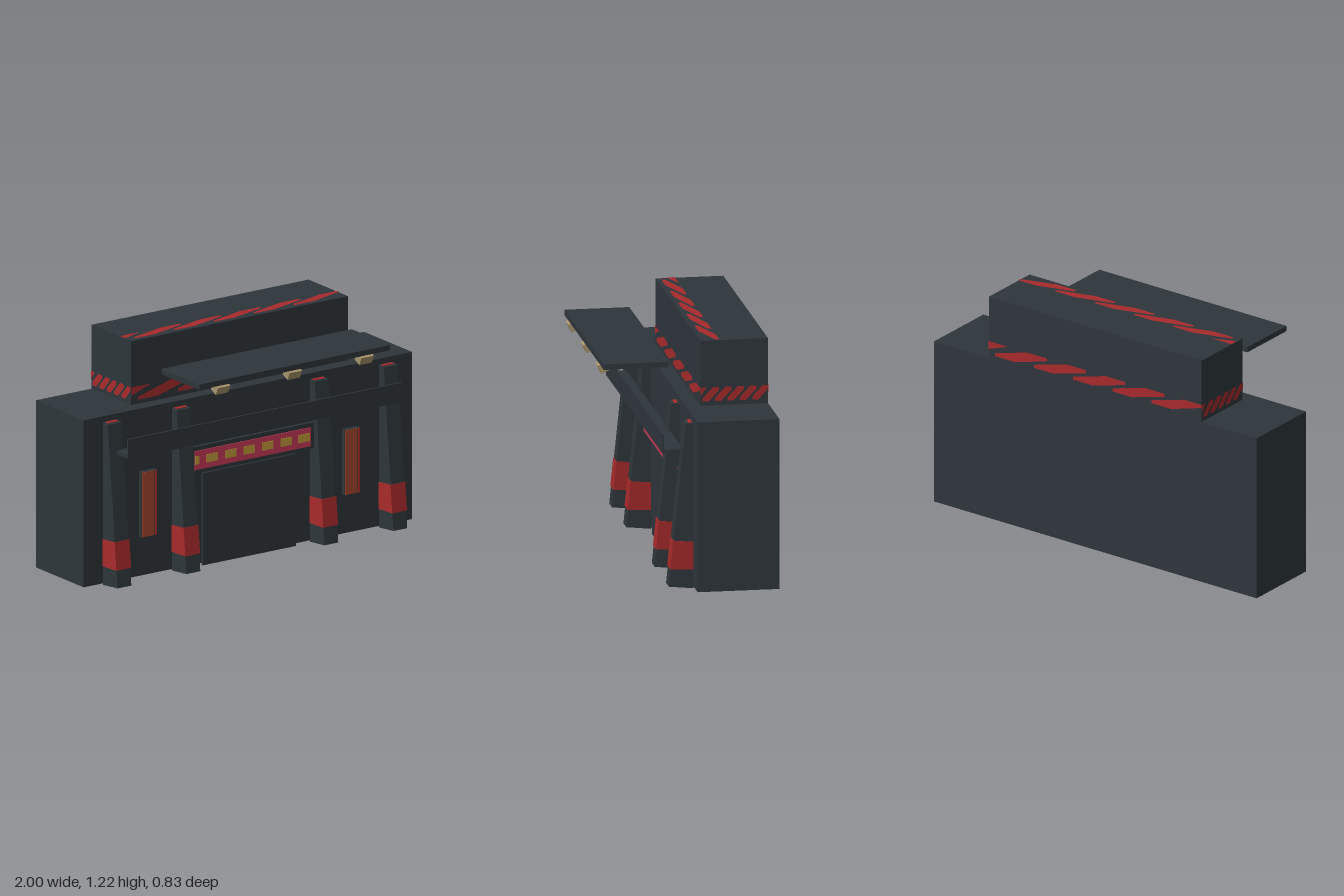
import * as THREE from 'three';

const mat = (name, color, side = THREE.FrontSide) => {
  const m = new THREE.MeshStandardMaterial({ color, side });
  m.name = name;
  return m;
};

export function createModel() {
  const group = new THREE.Group();
  const slate = mat('slate', 0x2e363b);
  const red = mat('red', 0xa82a2b, THREE.DoubleSide);
  const pink = mat('pink', 0xc83a58);
  const yellow = mat('yellow', 0xc49a3a);
  const rust = mat('rust', 0xa5472b);
  const tan = mat('tan', 0xa8946a);

  const add = (name, geo, material, parent = group) => {
    const mesh = new THREE.Mesh(geo, material);
    mesh.name = name;
    parent.add(mesh);
    return mesh;
  };
  // Box given by its limits on each axis
  const box = (name, material, x0, x1, y0, y1, z0, z1) => {
    const geo = new THREE.BoxGeometry(x1 - x0, y1 - y0, z1 - z0);
    geo.translate((x0 + x1) / 2, (y0 + y1) / 2, (z0 + z1) / 2);
    return add(name, geo, material);
  };

  // Main hall and upper storey
  box('mainBlock', slate, -1, 1, 0.01, 0.88, -0.413, 0);
  box('upperBlock', slate, -0.66, 0.66, 0.88, 1.213, -0.413, -0.072);

  // Slanted hazard stripes, repeated on each face of the upper storey
  const stripeShapes = [];
  const v0 = 0.065, v1 = 0.28, shear = 0.152, width = 0.092;
  const edge = 0.09 / 0.66 / 2;
  stripeShapes.push([[0, v1 - (edge / shear) * (v1 - v0) * 1.35], [0.092, v1], [0, v1]]);
  for (let i = 0; i < 5; i++) {
    const u = 0.03 + 0.184 * i;
    const end = Math.min(1, u + shear + width);
    stripeShapes.push([[u, v0], [u + width, v0], [end, v1 - 0.05], [end, v1], [u + shear, v1], [u, v0 + 0.05]]);
  }
  const stripes = (name, origin, uAxis, vAxis) => {
    const shapes = stripeShapes.map(pts => new THREE.Shape(pts.map(p => new THREE.Vector2(...p))));
    const U = new THREE.Vector3(...uAxis), V = new THREE.Vector3(...vAxis);
    const N = U.clone().cross(V).normalize();
    const geo = new THREE.ShapeGeometry(shapes);
    geo.applyMatrix4(new THREE.Matrix4().makeBasis(U, V, N)
      .setPosition(new THREE.Vector3(...origin).addScaledVector(N, 0.003)));
    geo.computeVertexNormals();
    add(name, geo, red);
  };
  const h = 0.333, d = 0.341, w = 1.32;
  stripes('frontStripes', [-0.66, 0.88, -0.072], [w, 0, 0], [0, h, 0]);
  stripes('backStripes', [0.66, 0.88, -0.413], [-w, 0, 0], [0, h, 0]);
  stripes('leftStripes', [0.66, 0.88, -0.072], [0, 0, -d], [0, h, 0]);
  stripes('rightStripes', [-0.66, 0.88, -0.413], [0, 0, d], [0, h, 0]);
  stripes('topStripes', [-0.66, 1.213, -0.072], [w, 0, 0], [0, 0, -d]);

  // Leaning buttresses with a red band and cap
  const prism = (name, material, parent, pts, wide) => {
    const geo = new THREE.ExtrudeGeometry(
      new THREE.Shape(pts.map(p => new THREE.Vector2(...p))), { depth: wide, bevelEnabled: false });
    geo.rotateY(-Math.PI / 2).translate(wide / 2, 0, 0);
    return add(name, geo, material, parent);
  };
  const frontZ = y => 0.125 - (y - 0.015) * 0.1024;
  for (const x of [-0.84, -0.42, 0.42, 0.84]) {
    const buttress = new THREE.Group();
    buttress.name = 'buttress';
    buttress.position.x = x;
    group.add(buttress);
    prism('buttressBody', slate, buttress,
      [[0, 0.002], [0.125, 0.015], [0.04, 0.845], [0, 0.849]], 0.084);
    prism('buttressBand', red, buttress,
      [[0.001, 0.1], [frontZ(0.105) + 0.003, 0.105], [frontZ(0.25) + 0.003, 0.25], [0.001, 0.24]], 0.09);
    prism('buttressCap', red, buttress,
      [[0.006, 0.8475], [0.024, 0.8455], [0.024, 0.8495], [0.006, 0.8515]], 0.066);
  }

  // Ledge with an upright lip across the buttresses
  box('ledge', slate, -0.836, 0.836, 0.687, 0.705, 0.045, 0.15);
  box('ledgeLip', slate, -0.836, 0.836, 0.705, 0.788, 0.141, 0.15);

  // Door
  box('door', slate, -0.283, 0.283, 0, 0.48, 0, 0.012);

  // Sign board with lit blocks
  box('signBoard', slate, -0.375, 0.375, 0.5, 0.635, 0.02, 0.038);
  box('signPanel', pink, -0.353, 0.353, 0.515, 0.613, 0.038, 0.043);
  box('signBlock', yellow, -0.353, -0.327, 0.544, 0.586, 0.043, 0.046);
  for (let i = 0; i < 6; i++) {
    const x = -0.249 + 0.1124 * i;
    box('signBlock', yellow, x - 0.034, x + 0.034, 0.544, 0.586, 0.043, 0.046);
  }

  // Tall narrow windows
  for (const x of [-0.618, 0.618]) {
    box('windowFrame', slate, x - 0.046, x + 0.046, 0.215, 0.555, 0, 0.024);
    box('windowPane', rust, x - 0.045, x + 0.03, 0.217, 0.553, 0.024, 0.028);
    box('windowStrip', red, x + 0.034, x + 0.045, 0.217, 0.553, 0.024, 0.028);
  }

  // Floating canopy with tilted lamps
  box('canopy', slate, -0.58, 0.58, 1.064, 1.092, 0.075, 0.402);
  for (const x of [-0.437, 0, 0.437]) {
    box('lampBracket', slate, x - 0.034, x + 0.034, 1.027, 1.064, 0.35, 0.375);
    const lamp = add('lamp', new THREE.BoxGeometry(0.076, 0.045, 0.046), tan);
    lamp.position.set(x, 1.048, 0.384);
    lamp.rotation.x = 0.45;
  }
  return group;
}
